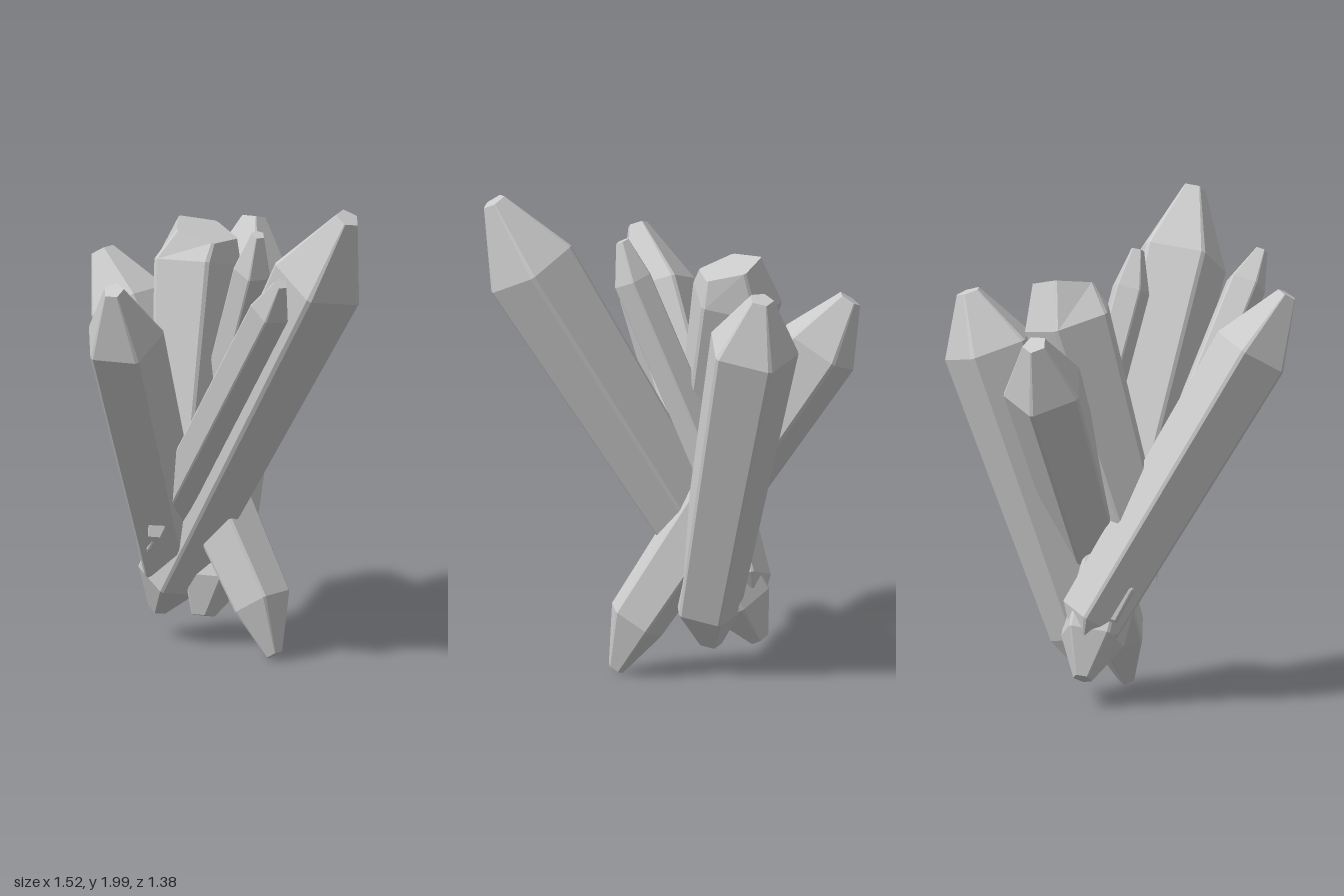
import * as THREE from 'three';

const UP = new THREE.Vector3(0, 1, 0);
const SIDES = 5;
const BEVEL = 0.05; // half angle of the narrow strip along each ridge

// Each crystal: four stations [x, y, z, radius] from lower tip to upper tip,
// the turn of its five ridges in degrees, and an optional normal for the upper facet.
const CRYSTALS = [
  { name: 'tallRightCrystal', turn: 14, stations: [
    [-0.36, 0.125, -0.07, 0.04], [-0.285, 0.28, -0.06, 0.135], [0.57, 1.70, -0.03, 0.195], [0.72, 1.973, -0.03, 0.05]] },
  { name: 'slimRightCrystal', turn: 14, stations: [
    [-0.32, 0.36, 0.04, 0.03], [-0.26, 0.47, 0.06, 0.085], [0.565, 1.62, 0.262, 0.085], [0.65, 1.75, 0.295, 0.028]] },
  { name: 'frontCrystal', turn: 42, stations: [
    [-0.31, 0.22, -0.08, 0.05], [-0.27, 0.36, -0.06, 0.14], [0.0, 1.45, 0.53, 0.165], [0.06, 1.685, 0.655, 0.042]] },
  { name: 'leftCrystal', turn: 36, stations: [
    [0.235, 0.028, -0.12, 0.035], [0.155, 0.23, -0.13, 0.125], [-0.59, 1.35, -0.14, 0.17], [-0.72, 1.55, -0.13, 0.05]] },
  { name: 'centreCrystal', turn: 40, facet: [0.27, 1, -0.1], stations: [
    [-0.17, 0.50, 0.14, 0.045], [-0.13, 0.71, 0.06, 0.13], [-0.25, 1.58, -0.17, 0.19], [-0.22, 1.715, -0.2, 0.135]] },
  { name: 'backCrystal', turn: 36, stations: [
    [-0.15, 0.125, -0.11, 0.05], [-0.13, 0.28, -0.16, 0.14], [-0.28, 1.45, -0.51, 0.19], [-0.31, 1.675, -0.59, 0.05]] },
  { name: 'smallCrystal', turn: 14, stations: [
    [-0.25, 0.62, -0.20, 0.02], [-0.21, 0.74, -0.19, 0.08], [0.16, 1.64, -0.075, 0.08], [0.2, 1.8, -0.06, 0.028]] },
];

// Five-sided ring with bevelled corners, lying across the given normal
function ring([x, y, z, radius], normal, turn) {
  const q = new THREE.Quaternion().setFromUnitVectors(UP, normal);
  const points = [];
  for (let i = 0; i < SIDES; i++) {
    for (const side of [-1, 1]) {
      const a = THREE.MathUtils.degToRad(turn) + (i / SIDES) * Math.PI * 2 + side * BEVEL;
      points.push(new THREE.Vector3(Math.cos(a) * radius, 0, -Math.sin(a) * radius)
        .applyQuaternion(q).add(new THREE.Vector3(x, y, z)));
    }
  }
  return points;
}

// Prism with a pointed, blunted end above and below
function crystalGeometry({ stations, turn, facet }) {
  const low = new THREE.Vector3(...stations[1]);
  const axis = new THREE.Vector3(...stations[2]).sub(low).normalize();
  const top = facet ? new THREE.Vector3(...facet).normalize() : axis;
  const rings = stations.map((s, i) => ring(s, i === 3 ? top : axis, turn));
  const n = SIDES * 2;
  const positions = [];
  const triangle = (...corners) => corners.forEach((p) => positions.push(p.x, p.y, p.z));

  for (let r = 0; r < rings.length - 1; r++) {
    for (let i = 0; i < n; i++) {
      const j = (i + 1) % n;
      triangle(rings[r][i], rings[r][j], rings[r + 1][j]);
      triangle(rings[r][i], rings[r + 1][j], rings[r + 1][i]);
    }
  }
  // End facets
  const [bottomRing, topRing] = [rings[0], rings[3]];
  for (let i = 1; i < n - 1; i++) {
    triangle(bottomRing[0], bottomRing[i + 1], bottomRing[i]);
    triangle(topRing[0], topRing[i], topRing[i + 1]);
  }
  const geometry = new THREE.BufferGeometry();
  geometry.setAttribute('position', new THREE.Float32BufferAttribute(positions, 3));
  geometry.computeVertexNormals();
  return geometry;
}

export function createModel() {
  const group = new THREE.Group();
  group.name = 'crystalCluster';
  const material = new THREE.MeshStandardMaterial({ color: 0xcccccc, flatShading: true });
  for (const crystal of CRYSTALS) {
    const mesh = new THREE.Mesh(crystalGeometry(crystal), material);
    mesh.name = crystal.name;
    group.add(mesh);
  }
  return group;
}
